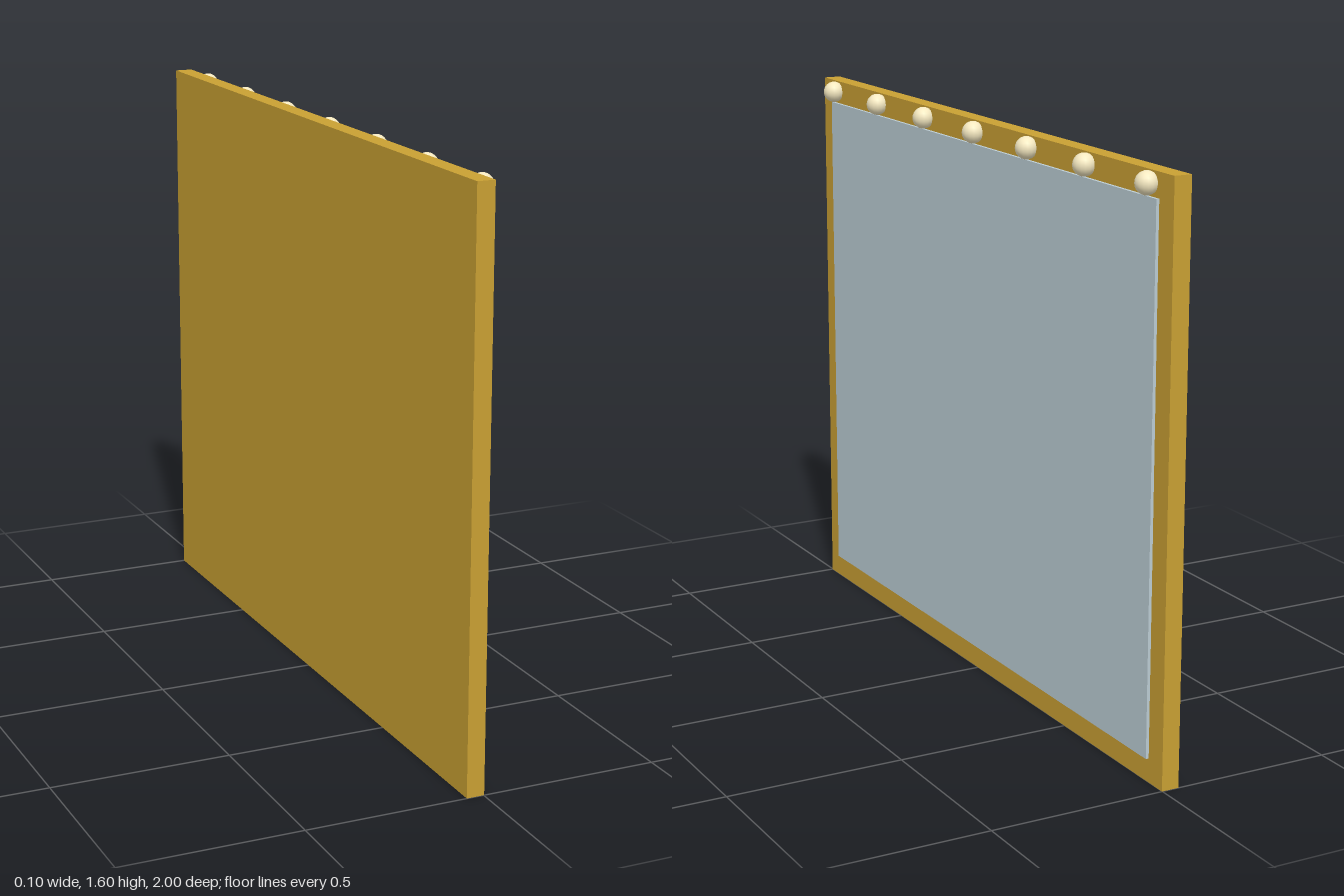
import * as THREE from 'three';

export function createModel() {
  const group = new THREE.Group();
  const gold = new THREE.MeshStandardMaterial({ color: 0xc9a033 });
  const glass = new THREE.MeshStandardMaterial({ color: 0xbccdd4 });
  const glow = new THREE.MeshStandardMaterial({ color: 0xf4e8c0 });

  const add = (name, geometry, material, x, y, z) => {
    const mesh = new THREE.Mesh(geometry, material);
    mesh.name = name;
    mesh.position.set(x, y, z);
    group.add(mesh);
  };

  // Solid backing board whose margin forms the frame
  add('frame', new THREE.BoxGeometry(0.05, 1.6, 2), gold, -0.0235, 0.8, 0);

  // Thin mirror pane standing slightly proud of the frame
  add('mirrorPane', new THREE.BoxGeometry(0.013, 1.467, 1.867), glass, 0.0035, 0.8, 0);

  // Row of round bulbs along the top rail
  const bulb = new THREE.SphereGeometry(0.031, 16, 12);
  for (let i = -3; i <= 3; i++) add('bulb', bulb, glow, 0.0175, 1.569, i * 0.3);

  return group;
}
